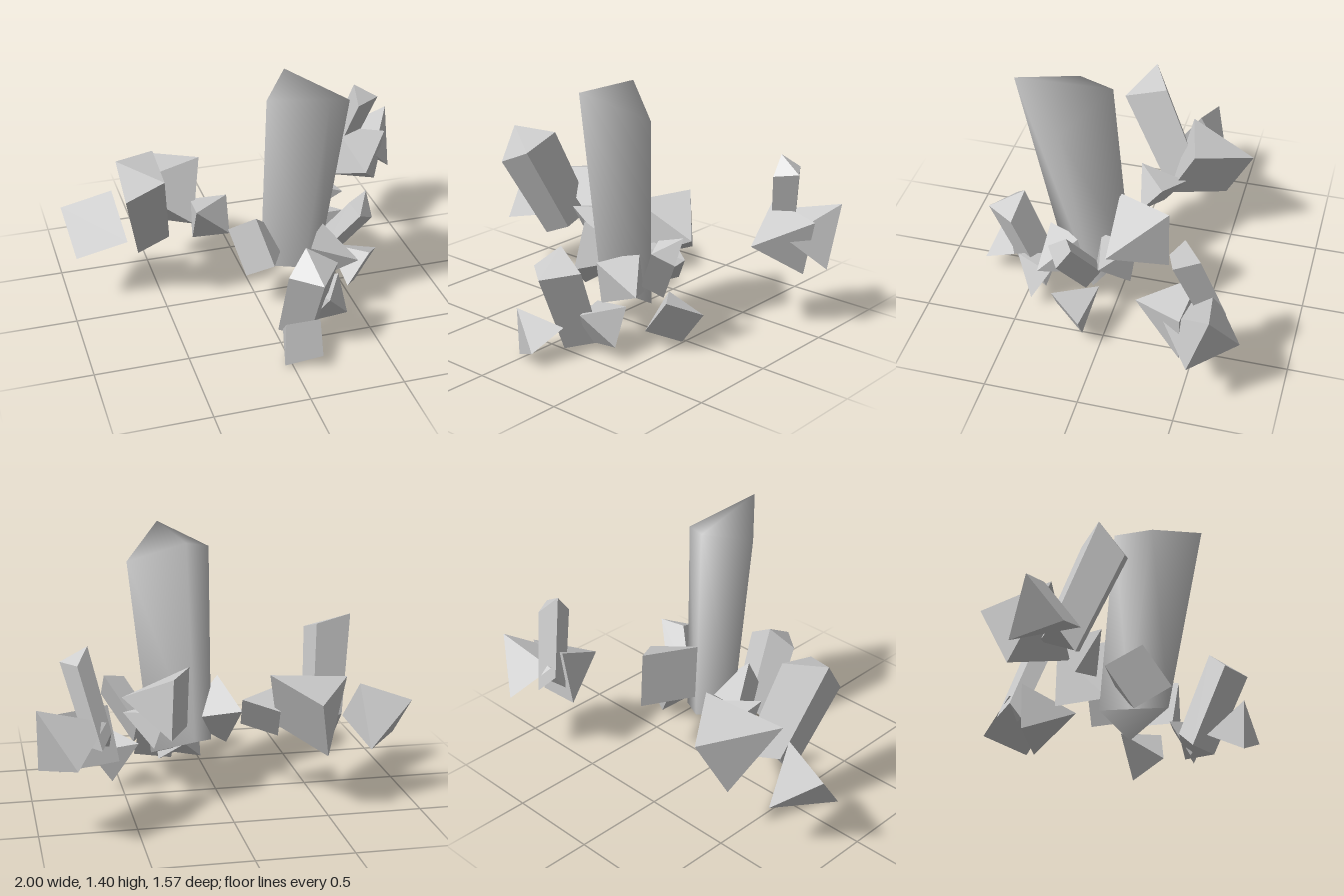
import * as THREE from 'three';

const V = (p) => new THREE.Vector3(...p);

// Indexed solid from corner points and triangles
function solid(name, points, faces, smooth = false) {
  const indexed = new THREE.BufferGeometry().setFromPoints(points);
  indexed.setIndex(faces.flat());
  const geo = smooth ? indexed : indexed.toNonIndexed();
  geo.computeVertexNormals();
  const mat = new THREE.MeshStandardMaterial({ color: 0xcccccc, flatShading: !smooth });
  const mesh = new THREE.Mesh(geo, mat);
  mesh.name = name;
  return mesh;
}

// Square pyramid from its tip, the middle of its base and one base corner
function pyramid(name, tip, centre, corner) {
  const apex = V(tip), c = V(centre);
  const axis = apex.clone().sub(c).normalize();
  const u = V(corner).sub(c);
  u.addScaledVector(axis, -u.dot(axis));
  const w = axis.clone().cross(u);
  const base = [u, w, u.clone().negate(), w.clone().negate()].map((o) => o.add(c));
  return solid(name, [...base, apex],
    [[0, 1, 4], [1, 2, 4], [2, 3, 4], [3, 0, 4], [0, 2, 1], [0, 3, 2]]);
}

// Four-sided column: top corners counterclockwise from above, ridge from first to third;
// the bottom is the top shrunk by taper and moved by shift
function column(name, corners, shift, taper, smooth) {
  const top = corners.map(V);
  const mid = new THREE.Vector3();
  top.forEach((p) => mid.addScaledVector(p, 0.25));
  const bottom = top.map((p) => p.clone().sub(mid).multiplyScalar(taper).add(mid).add(V(shift)));
  const faces = [[0, 1, 2], [0, 2, 3], [4, 6, 5], [4, 7, 6]];
  for (let i = 0; i < 4; i++) {
    const j = (i + 1) % 4;
    faces.push([i, i + 4, j + 4], [i, j + 4, j]);
  }
  return solid(name, [...top, ...bottom], faces, smooth);
}

export function createModel() {
  const group = new THREE.Group();
  group.name = 'crystalCluster';

  // Tall main crystal
  group.add(column('mainCrystal',
    [[0.15, 1.37, 0.03], [-0.01, 1.31, 0.25], [0.23, 1.41, 0.52], [0.44, 1.245, 0.23]],
    [-0.04, -1.06, -0.14], 0.75, true));

  // Small slanted crystals: top corners, shift to the bottom, taper
  const columns = [
    ['leftCrystal', [[-0.745, 0.957, 0.015], [-0.725, 0.775, 0.14], [-0.52, 0.866, 0.144], [-0.53, 0.935, -0.09]],
      [0.085, -0.48, -0.235], 0.85],
    ['rightCrystal', [[0.73, 0.975, -0.48], [0.735, 0.87, -0.405], [0.865, 0.895, -0.45], [0.79, 0.9, -0.57]],
      [-0.1, -0.4, -0.13], 0.9],
    ['frontCrystal', [[0.115, 0.6, 0.54], [0, 0.487, 0.62], [0.15, 0.48, 0.74], [0.28, 0.5, 0.57]],
      [-0.01, -0.44, -0.18], 0.9],
    ['sideCrystal', [[0.585, 0.645, 0.14], [0.47, 0.62, 0.2], [0.5, 0.58, 0.29], [0.595, 0.52, 0.22]],
      [-0.16, -0.25, -0.11], 1],
  ];
  columns.forEach((c) => group.add(column(...c)));

  // Pyramid shards: tip, base centre, base corner
  const shards = [
    // left group
    ['leftOuterShard', [-0.75, 0.325, -0.415], [-0.845, 0.48, -0.19], [-1, 0.545, -0.31]],
    ['leftBackShard', [-0.665, 0.675, -0.225], [-0.365, 0.525, -0.39], [-0.22, 0.73, -0.325]],
    ['leftInnerShard', [-0.32, 0.57, -0.005], [-0.212, 0.45, -0.155], [-0.115, 0.565, -0.165]],
    // right group
    ['rightFrontShard', [0.73, 0.53, -0.235], [0.765, 0.515, -0.52], [0.885, 0.34, -0.49]],
    ['rightBackShard', [1, 0.717, -0.66], [0.826, 0.5, -0.586], [0.815, 0.435, -0.785]],
    // around the main crystal
    ['backShard', [0.51, 0.565, -0.02], [0.215, 0.555, -0.155], [0.27, 0.725, -0.3]],
    ['innerLeftShard', [0.17, 0.4, 0.055], [-0.067, 0.412, 0.168], [-0.045, 0.6, 0.19]],
    ['innerRightShard', [0.5, 0.47, 0.02], [0.3, 0.4, -0.02], [0.3, 0.5, -0.13]],
    ['underShard', [0.47, 0.36, 0.37], [0.26, 0.38, 0.25], [0.2, 0.48, 0.37]],
    // lower front
    ['frontLeftShard', [-0.04, 0.27, 0.71], [0.072, 0.098, 0.649], [-0.04, 0.01, 0.7]],
    ['frontMiddleShard', [0.25, 0.26, 0.55], [0.275, 0.165, 0.378], [0.37, 0.28, 0.345]],
    ['frontRightShard', [0.415, 0.28, 0.043], [0.565, 0.188, 0.18], [0.68, 0.235, 0.085]],
  ];
  shards.forEach((s) => group.add(pyramid(...s)));

  return group;
}
